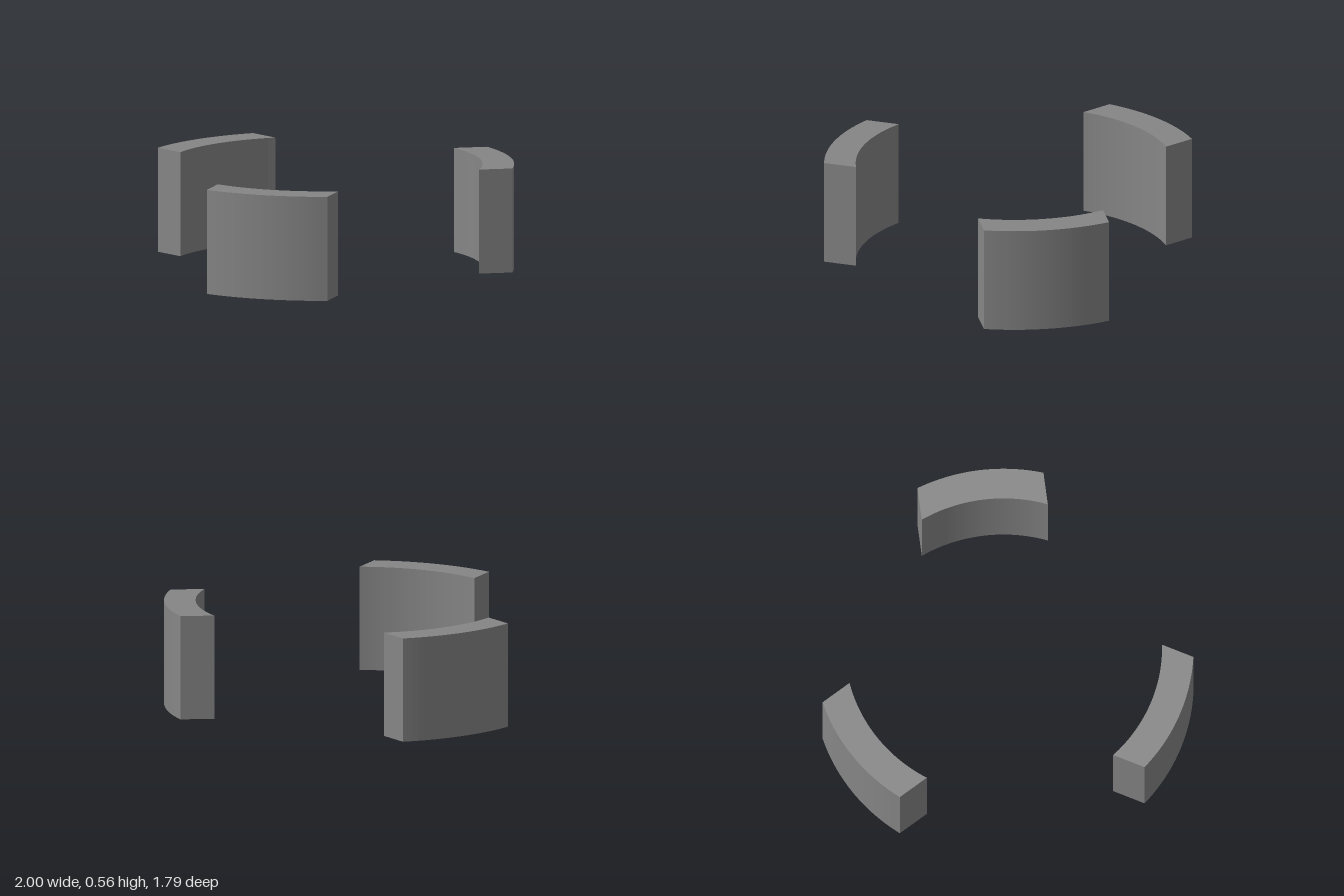
import * as THREE from 'three';

const OUTER = 1.017, INNER = 0.848, HALF_WIDTH = 0.34, HEIGHT = 0.565, CENTRE_Z = 0.122;

// Curved block: a slice of a ring with parallel end faces, pointing to -z
function segmentGeometry() {
  const a = Math.asin(HALF_WIDTH / OUTER);
  const b = Math.asin(HALF_WIDTH / INNER);
  const shape = new THREE.Shape();
  shape.absarc(0, 0, OUTER, Math.PI / 2 - a, Math.PI / 2 + a, false);
  shape.absarc(0, 0, INNER, Math.PI / 2 + b, Math.PI / 2 - b, true);
  shape.closePath();
  const geometry = new THREE.ExtrudeGeometry(shape, { depth: HEIGHT, bevelEnabled: false, curveSegments: 16 });
  return geometry.rotateX(-Math.PI / 2);
}

export function createModel() {
  const model = new THREE.Group();
  model.name = 'ringSegments';
  const geometry = segmentGeometry();
  const material = new THREE.MeshStandardMaterial({ color: 0x868686 });

  // Three equal segments spaced 120 degrees apart
  ['backSegment', 'rightSegment', 'leftSegment'].forEach((name, i) => {
    const segment = new THREE.Mesh(geometry, material);
    segment.name = name;
    segment.rotation.y = (i * Math.PI * 2) / 3;
    segment.position.z = CENTRE_Z;
    model.add(segment);
  });
  return model;
}
